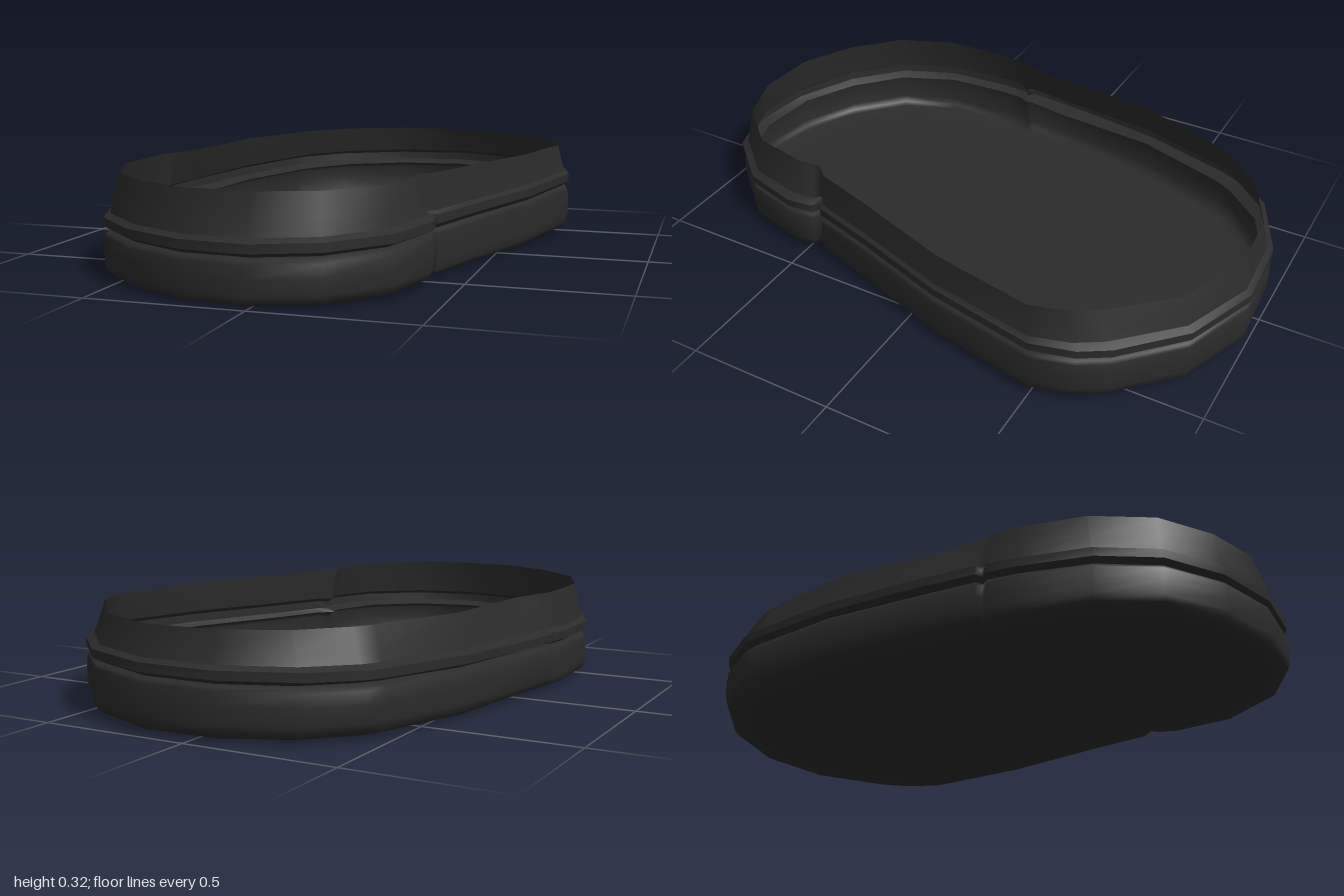
import * as THREE from 'three';

// Plan outline, clockwise from the back: outer x, z and top rim x, z
const OUTLINE = [
  [0.15, -1.0, 0.15, -0.955], [0.40, -0.905, 0.375, -0.86], [0.58, -0.73, 0.55, -0.67],
  [0.635, -0.64, 0.60, -0.59], [0.67, -0.50, 0.632, -0.475], [0.59, -0.13, 0.565, -0.13],
  [0.475, 0.205, 0.45, 0.205], [0.405, 0.43, 0.385, 0.415],
  [0.37, 0.45, 0.34, 0.465], // right-hand crease
  [0.405, 0.465, 0.342, 0.49], [0.415, 0.555, 0.35, 0.535], [0.355, 0.755, 0.31, 0.73],
  [0.20, 0.925, 0.175, 0.88], [0, 0.995, 0, 0.945], [-0.215, 0.97, -0.215, 0.93],
  [-0.425, 0.87, -0.39, 0.84], [-0.585, 0.72, -0.54, 0.70], [-0.66, 0.53, -0.62, 0.505],
  [-0.672, 0.295, -0.628, 0.31], [-0.665, 0.20, -0.62, 0.215],
  [-0.64, 0.18, -0.605, 0.185], // left-hand crease
  [-0.665, 0.165, -0.60, 0.16], [-0.64, -0.05, -0.57, 0.04], [-0.585, -0.37, -0.54, -0.34],
  [-0.485, -0.685, -0.425, -0.66], [-0.455, -0.745, -0.39, -0.72],
  [-0.33, -0.88, -0.27, -0.855], [-0.10, -0.985, -0.08, -0.945],
];

// Surface through rings { f: 0 rim .. 1 outer, y, tilt, s: scale to centre }, listed upwards
function shell(name, rings, material) {
  const n = OUTLINE.length, pos = [], index = [];
  for (const { f, y, tilt = 0, s = 1 } of rings) {
    for (const [ox, oz, rx, rz] of OUTLINE) {
      const x = (rx + (ox - rx) * f) * s, z = (rz + (oz - rz) * f) * s;
      pos.push(x, y + tilt * (0.008 * x - 0.016 * z), z);
    }
  }
  for (let k = 0; k < rings.length - 1; k++) {
    for (let j = 0; j < n; j++) {
      const a = k * n + j, b = k * n + (j + 1) % n;
      if (rings[k].s !== 0) index.push(a, a + n, b);
      index.push(b, a + n, b + n);
    }
  }
  const geometry = new THREE.BufferGeometry();
  geometry.setAttribute('position', new THREE.Float32BufferAttribute(pos, 3));
  geometry.setIndex(index);
  geometry.computeVertexNormals();
  const mesh = new THREE.Mesh(geometry, material);
  mesh.name = name;
  return mesh;
}

export function createModel() {
  const group = new THREE.Group();
  group.name = 'openTray';
  const black = new THREE.MeshStandardMaterial({ color: 0x2b2b2b, side: THREE.DoubleSide });
  black.name = 'charcoal';

  group.add(
    // Floor and rounded lower wall
    shell('lowerShell', [
      { f: 0, y: 0, s: 0 },
      { f: 0, y: 0.001, s: 0.7 },
      { f: 0, y: 0.006, tilt: 0.3, s: 0.95 },
      { f: 0.45, y: 0.012, tilt: 0.4 },
      { f: 0.8, y: 0.025, tilt: 0.6 },
      { f: 0.96, y: 0.05, tilt: 0.8 },
      { f: 1, y: 0.10, tilt: 1 },
      { f: 0.93, y: 0.14, tilt: 1 },
      { f: 0.8, y: 0.151, tilt: 1 },
      { f: 0.35, y: 0.157, tilt: 1 },
    ], black),
    // Projecting band above the groove
    shell('bandUnderside', [
      { f: 0.35, y: 0.157, tilt: 1 }, { f: 0.98, y: 0.172, tilt: 1 },
    ], black),
    shell('bandEdge', [
      { f: 0.98, y: 0.172, tilt: 1 }, { f: 1, y: 0.20, tilt: 1 },
    ], black),
    shell('bandTop', [
      { f: 1, y: 0.20, tilt: 1 }, { f: 0.55, y: 0.212, tilt: 1 },
    ], black),
    // Sloping upper wall with a level open rim
    shell('upperWall', [
      { f: 0.55, y: 0.212, tilt: 1 }, { f: 0.36, y: 0.25, tilt: 0.5 }, { f: 0, y: 0.322 },
    ], black),
  );
  return group;
}
